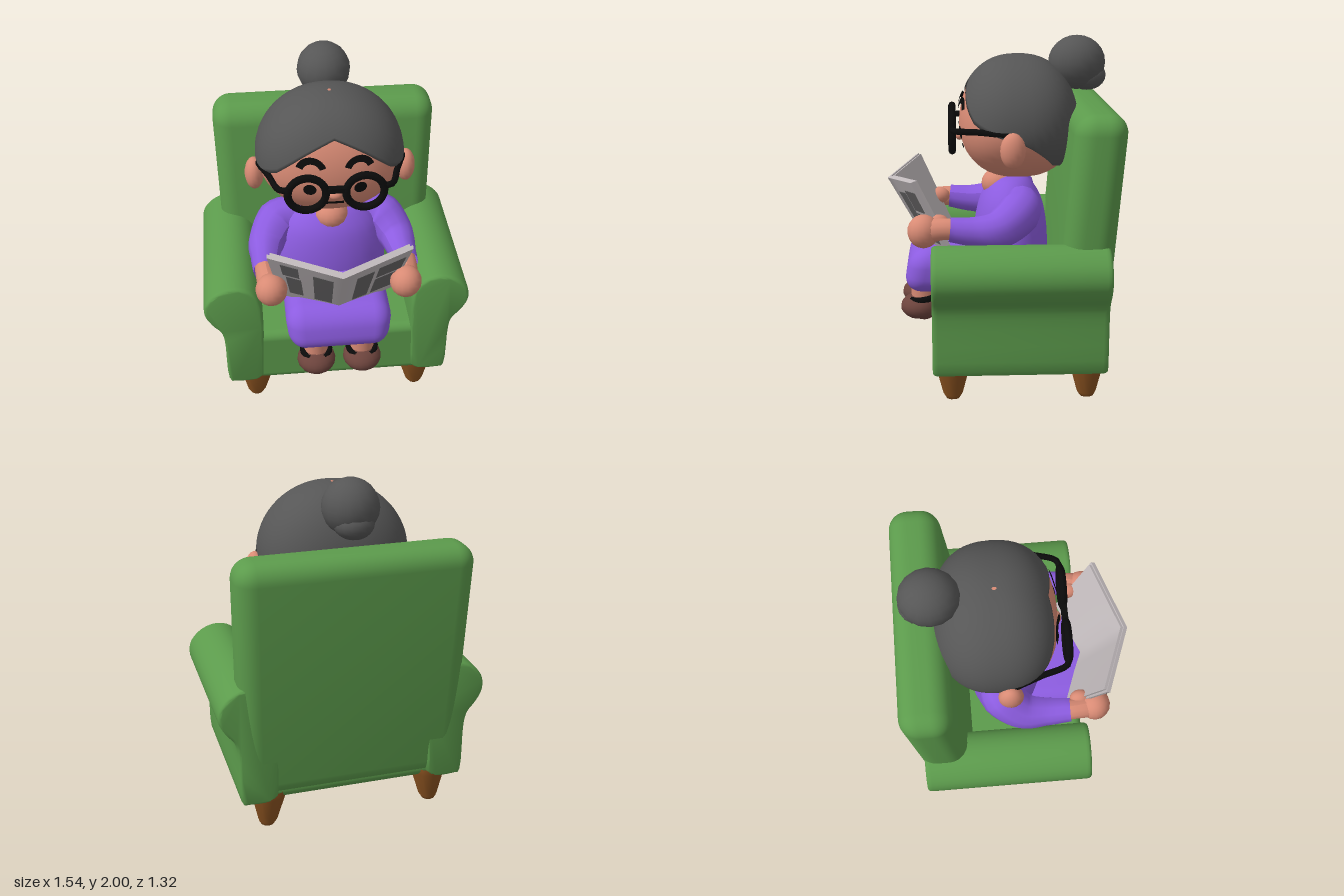
import * as THREE from 'three';
import { toCreasedNormals } from 'three/addons/utils/BufferGeometryUtils.js';
import { RoundedBoxGeometry } from 'three/addons/geometries/RoundedBoxGeometry.js';
import { ParametricGeometry } from 'three/addons/geometries/ParametricGeometry.js';

const { lerp, clamp } = THREE.MathUtils;

function material(name, color) {
  const m = new THREE.MeshStandardMaterial({ color, side: THREE.DoubleSide });
  m.name = name;
  return m;
}

// Piecewise linear lookup in a list of [key, value] pairs
function lookup(table, k) {
  let i = 1;
  while (i < table.length - 1 && k > table[i][0]) i++;
  const [a, b] = [table[i - 1], table[i]];
  return lerp(a[1], b[1], clamp((k - a[0]) / (b[0] - a[0]), 0, 1));
}

// Move every vertex by a rule
function reshape(geo, rule) {
  const p = geo.attributes.position, v = new THREE.Vector3();
  for (let i = 0; i < p.count; i++) {
    rule(v.fromBufferAttribute(p, i));
    p.setXYZ(i, v.x, v.y, v.z);
  }
  return geo;
}

// Tube through points with changing radius
function limb(points, radii, steps = 16, sides = 12) {
  const curve = new THREE.CatmullRomCurve3(points.map(p => new THREE.Vector3(...p)));
  const geo = new THREE.TubeGeometry(curve, steps, 1, sides);
  const table = radii.map((r, i) => [i / (radii.length - 1), r]);
  let i = 0;
  reshape(geo, v => {
    const t = Math.floor(i++ / (sides + 1)) / steps;
    const c = curve.getPointAt(t);
    v.sub(c).multiplyScalar(lookup(table, t)).add(c);
  });
  geo.computeVertexNormals();
  return geo;
}

// Head: squashed ellipsoid, a = angle from the front, phi = angle from the crown
const POW = 0.85, spow = v => Math.sign(v) * Math.abs(v) ** POW;
function headPoint(a, phi, s, out) {
  const c = Math.cos(phi), r = Math.max(Math.sin(phi), 0);
  return out.set(
    s * 0.425 * r * spow(Math.sin(a)),
    1.5 + s * (c > 0 ? 0.395 : 0.325) * c,
    -0.1 + s * 0.35 * r ** POW * spow(Math.cos(a)));
}
function faceZ(x, y) {
  const s = 0.97, c = (y - 1.5) / (s * (y > 1.5 ? 0.395 : 0.325));
  const r = Math.sqrt(1 - c * c), e = 2 / POW;
  return -0.1 + s * 0.35 * r ** POW * (1 - Math.abs(x / (s * 0.425 * r)) ** e) ** (1 / e);
}
const hairline = [[0, 0.9], [0.35, 1.12], [0.8, 1.48], [1.57, 1.75], [2.2, 2.25], [Math.PI, 2.45]];

// Open newspaper: u runs over both pages (-1..1), v from bottom to top, w is depth
function sheet(u0, u1, v0, v1, w0, w1) {
  const geo = new THREE.BoxGeometry(1, 1, 1, 8, 4, 1);
  reshape(geo, p => {
    const x = lerp(u0, u1, p.x + 0.5), u = Math.abs(x);
    const v = lerp(v0, v1, p.y + 0.5), w = lerp(w0, w1, p.z + 0.5);
    p.set(x * lerp(0.33, 0.4, v),
      lerp(lerp(0.77, 1.18, v), lerp(0.8, 1.235, v), u) - 0.45 * w,
      lerp(lerp(0.42, 0.65, v), lerp(0.3, 0.5, v), u) + 0.88 * w);
  });
  geo.computeVertexNormals();
  return geo;
}

export function createModel() {
  const green = material('green upholstery', 0x5c9b4c);
  const wood = material('wood', 0x8a5220);
  const skin = material('skin', 0xd98b75);
  const grey = material('grey hair', 0x565656);
  const purple = material('purple dress', 0x8c5ce0);
  const black = material('black', 0x0b0b0b);
  const brown = material('brown leather', 0x6d443d);
  const paper = material('paper', 0xc0b9bb);
  const ink = material('ink', 0x686667);

  const model = new THREE.Group();
  const part = (name, geo, mat, x = 0, y = 0, z = 0) => {
    const mesh = new THREE.Mesh(geo, mat);
    mesh.name = name;
    mesh.position.set(x, y, z);
    model.add(mesh);
    return mesh;
  };
  const ball = (name, mat, [x, y, z], [rx, ry, rz]) =>
    part(name, new THREE.SphereGeometry(1, 16, 12).scale(rx, ry, rz), mat, x, y, z);

  // Armchair seat and leaning back
  part('seat', new RoundedBoxGeometry(1.28, 0.36, 0.93, 4, 0.05), green, 0, 0.37, -0.075);
  const back = reshape(new RoundedBoxGeometry(1.32, 1.44, 0.29, 5, 0.11).translate(0, 0.91, 0), v => {
    v.x *= lerp(0.96, 1, clamp((v.y - 0.2) / 1.3, 0, 1));
    v.z += -0.405 - 0.08 * (v.y - 0.2);
  });
  back.computeVertexNormals();
  part('backrest', toCreasedNormals(back, 0.7), green);

  // Scrolled arms
  const armProfile = [[0.46, 0.24], [0.45, 0.55], [0.455, 0.78], [0.5, 0.87], [0.58, 0.905], [0.67, 0.885],
    [0.74, 0.82], [0.755, 0.74], [0.72, 0.665], [0.67, 0.6], [0.65, 0.5], [0.645, 0.24], [0.61, 0.21], [0.5, 0.21]];
  for (const s of [1, -1]) {
    const shape = new THREE.Shape();
    shape.setFromPoints(new THREE.SplineCurve(
      [...armProfile, armProfile[0]].map(([x, y]) => new THREE.Vector2(s * x, y))).getPoints(44).slice(0, -1));
    const geo = new THREE.ExtrudeGeometry(shape, {
      depth: 0.91, bevelSize: 0.015, bevelThickness: 0.03, bevelSegments: 3 });
    part('armrest', toCreasedNormals(geo, 0.9), green, 0, 0, -0.54);
    // Tapered chair feet
    for (const z of [0.29, -0.47]) {
      const foot = new THREE.LatheGeometry([[0, 0], [0.04, 0.005], [0.055, 0.03], [0.1, 0.2], [0.1, 0.24]]
        .map(p => new THREE.Vector2(...p)), 10);
      reshape(foot, v => { v.x -= s * 0.05 * v.y; });
      part('chairFoot', foot, wood, s * 0.495, 0, z);
    }
  }

  // Dress
  const torso = new THREE.LatheGeometry(new THREE.SplineCurve([[0.3, 0.5], [0.33, 0.65], [0.33, 0.85], [0.29, 1.02],
    [0.22, 1.12], [0.13, 1.18], [0.001, 1.2]].map(p => new THREE.Vector2(...p))).getPoints(20), 24);
  part('torso', torso.scale(1, 1, 0.66), purple, 0, 0, -0.06);
  const skirt = reshape(new RoundedBoxGeometry(0.64, 0.27, 0.6, 5, 0.11), v => {
    v.x *= v.y > 0 ? 0.95 : 0.93;
    v.z -= v.z > 0 ? 0.2 * (v.y + 0.1) : 0;
  });
  skirt.computeVertexNormals();
  part('skirt', toCreasedNormals(skirt, 0.9), purple, 0, 0.675, 0.27);
  ball('neck', skin, [0, 1.14, 0.01], [0.1, 0.09, 0.1]);

  // Arms, hands, legs and shoes
  for (const s of [1, -1]) {
    part('sleeve', limb([[s * 0.18, 1.08, -0.12], [s * 0.3, 1.04, -0.1], [s * 0.385, 0.96, 0.02],
      [s * 0.4, 0.95, 0.16], [s * 0.405, 0.965, 0.3]], [0.09, 0.125, 0.11, 0.085, 0.07], 20), purple);
    part('forearm', limb([[s * 0.405, 0.965, 0.25], [s * 0.4, 0.965, 0.34], [s * 0.385, 0.95, 0.43]],
      [0.06, 0.062, 0.07]), skin);
    ball('hand', skin, [s * 0.38, 0.95, 0.445], [0.09, 0.095, 0.09]);
    ball('thumb', skin, [s * 0.34, 0.985, 0.36], [0.045, 0.05, 0.06]);
    part('ankle', new THREE.CylinderGeometry(0.072, 0.068, 0.18, 14), skin, s * 0.135, 0.53, 0.46);
    const shoe = reshape(new THREE.SphereGeometry(1, 18, 14), v => {
      v.y = Math.max(v.y, -0.8);
      v.y *= v.z > 0 ? 1 : 1.1;
    }).scale(0.112, 0.078, 0.115);
    shoe.computeVertexNormals();
    part('shoe', shoe, brown, s * 0.135, 0.43, 0.478);
    const cuff = part('shoeStrap', new THREE.TorusGeometry(0.076, 0.02, 8, 20), black, s * 0.135, 0.485, 0.46);
    cuff.rotation.x = Math.PI / 2 + 0.15;
  }

  // Head, hair and bun
  part('head', new ParametricGeometry((u, v, out) =>
    headPoint((u - 0.5) * 2 * Math.PI, lerp(3.12, 0.02, v), 0.97, out), 40, 24), skin);
  part('hair', new ParametricGeometry((u, v, out) => {
    const a = (u - 0.5) * 2 * Math.PI, edge = lookup(hairline, Math.abs(a));
    const t = clamp(v / 0.08, 0, 1);
    headPoint(a, lerp(edge, 0.02, clamp((v - 0.08) / 0.92, 0, 1)), lerp(0.93, 1, t), out);
  }, 48, 25), grey);
  ball('bun', grey, [0, 1.845, -0.44], [0.155, 0.155, 0.165]);
  ball('bunKnot', grey, [0, 1.77, -0.5], [0.11, 0.085, 0.11]);

  // Facial details laid on the face
  const decal = (name, geo, x, y, off) => {
    geo.translate(x, y, 0);
    reshape(geo, v => { v.z = faceZ(v.x, v.y) + off; });
    geo.computeVertexNormals();
    part(name, geo, black);
  };
  for (const s of [1, -1]) {
    decal('eye', new THREE.CircleGeometry(0.036, 20), s * 0.14, 1.465, 0.008);
    decal('eyebrow', new THREE.RingGeometry(0.05, 0.087, 16, 1, 0.35, Math.PI - 0.7), s * 0.132, 1.578, 0.017);
    ball('ear', skin, [s * 0.435, 1.41, -0.05], [0.055, 0.1, 0.07]);

    // Spectacles
    part('lensRim', new THREE.TorusGeometry(0.105, 0.022, 8, 28), black, s * 0.16, 1.47, 0.28);
    part('temple', limb([[s * 0.26, 1.5, 0.28], [s * 0.31, 1.5, 0.265], [s * 0.36, 1.5, 0.12],
      [s * 0.415, 1.49, -0.03]], [0.018, 0.018, 0.018, 0.016], 14, 8), black);
  }
  part('bridge', new THREE.BoxGeometry(0.13, 0.028, 0.035), black, 0, 1.49, 0.28);
  decal('mouth', new THREE.PlaneGeometry(0.1, 0.022, 6, 1), 0, 1.36, 0.008);
  ball('nose', skin, [0, 1.425, 0.235], [0.04, 0.028, 0.03]);

  // Newspaper with printed columns
  part('newspaper', sheet(-1, 1, 0, 1, -0.012, 0.012), paper);
  part('innerPages', sheet(-0.96, 0.96, 0.04, 0.985, -0.03, -0.012), paper);
  for (const [u0, u1, v0, v1] of [[-0.84, -0.6, 0.66, 0.93], [-0.8, -0.58, 0.16, 0.62], [-0.4, -0.12, 0.14, 0.84],
    [0.22, 0.48, 0.14, 0.82], [0.54, 0.94, 0.58, 0.86], [0.54, 0.9, 0.14, 0.54]])
    part('printedColumn', sheet(u0, u1, v0, v1, 0.012, 0.016), ink);

  return model;
}
